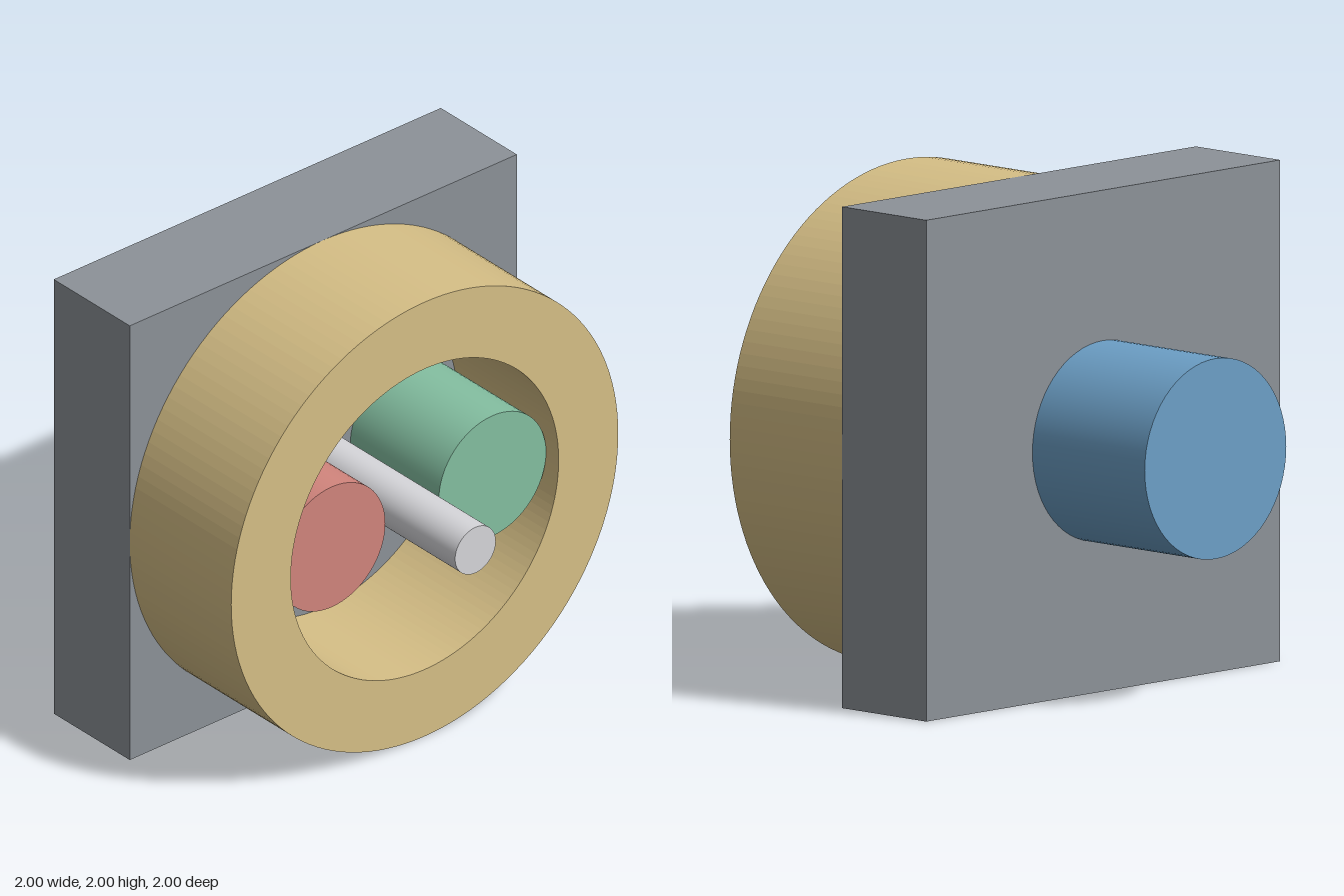
import * as THREE from 'three';

const U = 1 / 13; // layout unit

const paint = (name, color) => {
  const m = new THREE.MeshStandardMaterial({ color });
  m.name = name;
  return m;
};

export function createModel() {
  const model = new THREE.Group();
  model.name = 'gearMotor';

  const grey = paint('plateGrey', 0x8c9298);
  const brass = paint('ringBrass', 0xd6bf86);
  const blue = paint('motorBlue', 0x6c9fc6);
  const red = paint('gearRed', 0xd2857d);
  const green = paint('gearGreen', 0x84bfa1);
  const silver = paint('shaftSilver', 0xd6d6da);

  const add = (name, geometry, material, x, z) => {
    const mesh = new THREE.Mesh(geometry, material);
    mesh.name = name;
    mesh.position.set(x, 1, z);
    model.add(mesh);
  };

  // Solid cylinder lying along z between two depths
  const rod = (name, radius, z0, z1, material, x = 0) => {
    const g = new THREE.CylinderGeometry(radius, radius, z1 - z0, 64).rotateX(Math.PI / 2);
    add(name, g, material, x, (z0 + z1) / 2);
  };

  const back = -5 * U, face = U, ringFront = 9 * U;

  // Square mounting plate
  add('mountingPlate', new THREE.BoxGeometry(2, 2, face - back), grey, 0, (face + back) / 2);

  // Ring housing: square profile turned about z, corners kept sharp by flat extrusion sides
  const outline = new THREE.Shape().absarc(0, 0, 1, 0, Math.PI * 2);
  outline.holes.push(new THREE.Path().absarc(0, 0, 9 * U, 0, Math.PI * 2, true));
  const ring = new THREE.ExtrudeGeometry(outline, {
    depth: ringFront - face, bevelEnabled: false, curveSegments: 64,
  });
  add('ringHousing', ring, brass, 0, face);

  // Motor behind the plate, output shaft in front
  rod('motor', 0.4, -1, back, blue);
  rod('outputShaft', 0.105, face, 1, silver);

  // Pair of planet rollers inside the ring
  rod('rightRoller', 3.6 * U, face, 8 * U, red, -5.4 * U);
  rod('leftRoller', 3.6 * U, face, 8 * U, green, 5.4 * U);

  return model;
}
